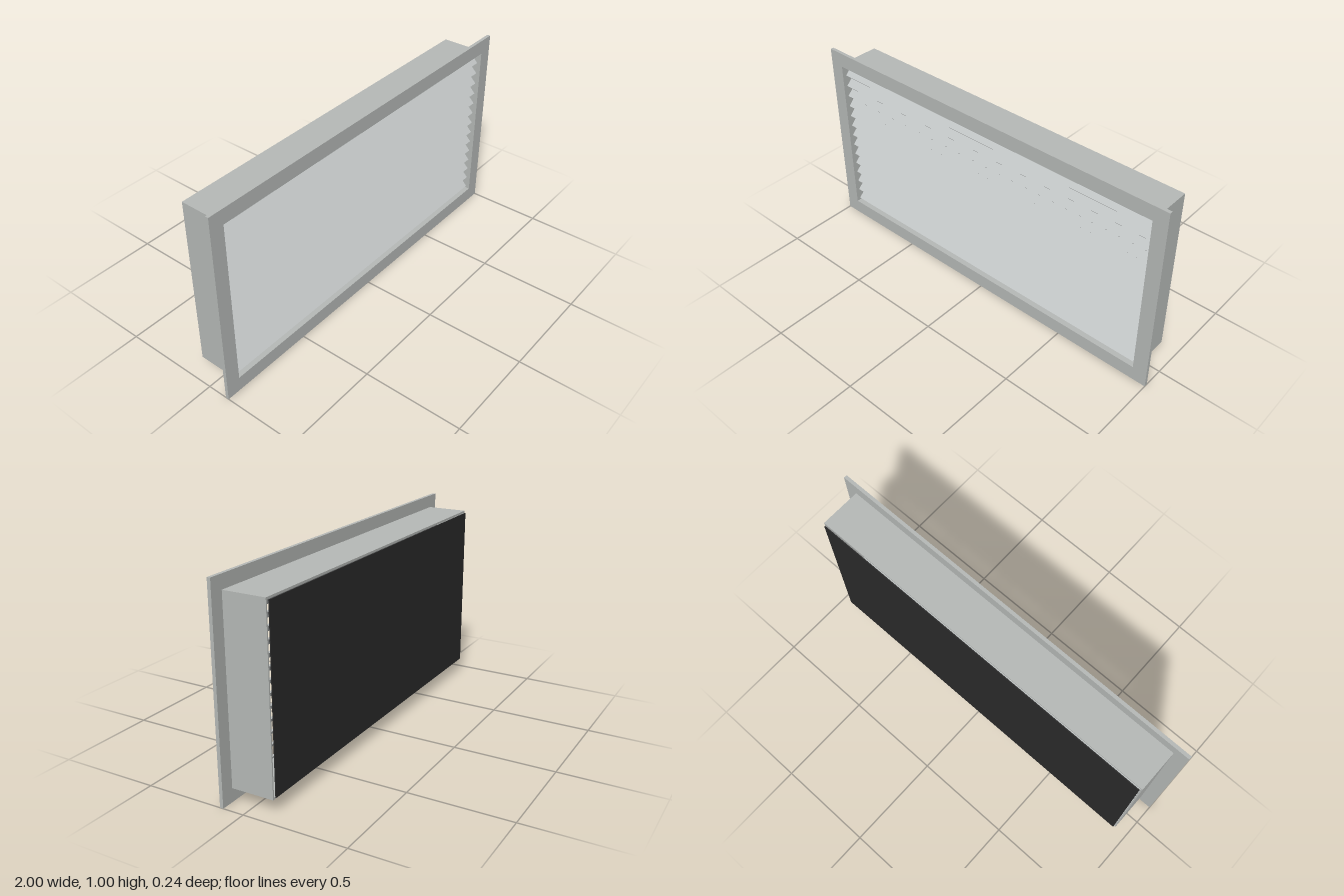
import * as THREE from 'three';

// Rectangular ring, extruded from z0 to z1 and centred on y = 0.5
function ring(outerX, outerY, innerX, innerY, z0, z1) {
  const rect = (Type, x, y) => new Type([
    new THREE.Vector2(-x, 0.5 - y), new THREE.Vector2(x, 0.5 - y),
    new THREE.Vector2(x, 0.5 + y), new THREE.Vector2(-x, 0.5 + y),
  ]);
  const shape = rect(THREE.Shape, outerX, outerY);
  shape.holes.push(rect(THREE.Path, innerX, innerY));
  const geometry = new THREE.ExtrudeGeometry(shape, { depth: z1 - z0, bevelEnabled: false });
  return geometry.translate(0, 0, z0);
}

export function createModel() {
  const model = new THREE.Group();
  model.name = 'ventilationGrille';

  const frameGrey = new THREE.MeshStandardMaterial({ color: 0xb6b9b7 });
  frameGrey.name = 'frame grey';
  const bladeGrey = new THREE.MeshStandardMaterial({ color: 0xc0c4c4 });
  bladeGrey.name = 'blade grey';
  const screenBlack = new THREE.MeshStandardMaterial({ color: 0x2a2a2a });
  screenBlack.name = 'screen black';

  const add = (name, geometry, material, parent = model) => {
    const mesh = new THREE.Mesh(geometry, material);
    mesh.name = name;
    parent.add(mesh);
    return mesh;
  };

  // Front flange and the hollow sleeve behind it
  add('frontFlange', ring(1, 0.5, 0.927, 0.425, 0.102, 0.119), frameGrey);
  add('sleeve', ring(0.934, 0.435, 0.927, 0.425, -0.107, 0.102), frameGrey);

  // Fourteen blades sloping down towards the front
  const blades = new THREE.Group();
  blades.name = 'blades';
  model.add(blades);
  const bladeGeometry = new THREE.BoxGeometry(1.852, 0.009, 0.076);
  for (let i = 0; i < 14; i++) {
    const blade = add('blade' + (i + 1), bladeGeometry, bladeGrey, blades);
    blade.position.set(0, 0.11 + i * 0.06, 0.07);
    blade.rotation.x = Math.PI / 4;
  }

  // Dark screen held just off the back of the sleeve
  const screen = add('backScreen', new THREE.BoxGeometry(1.85, 0.85, 0.005), screenBlack);
  screen.position.set(0, 0.5, -0.1145);

  return model;
}
